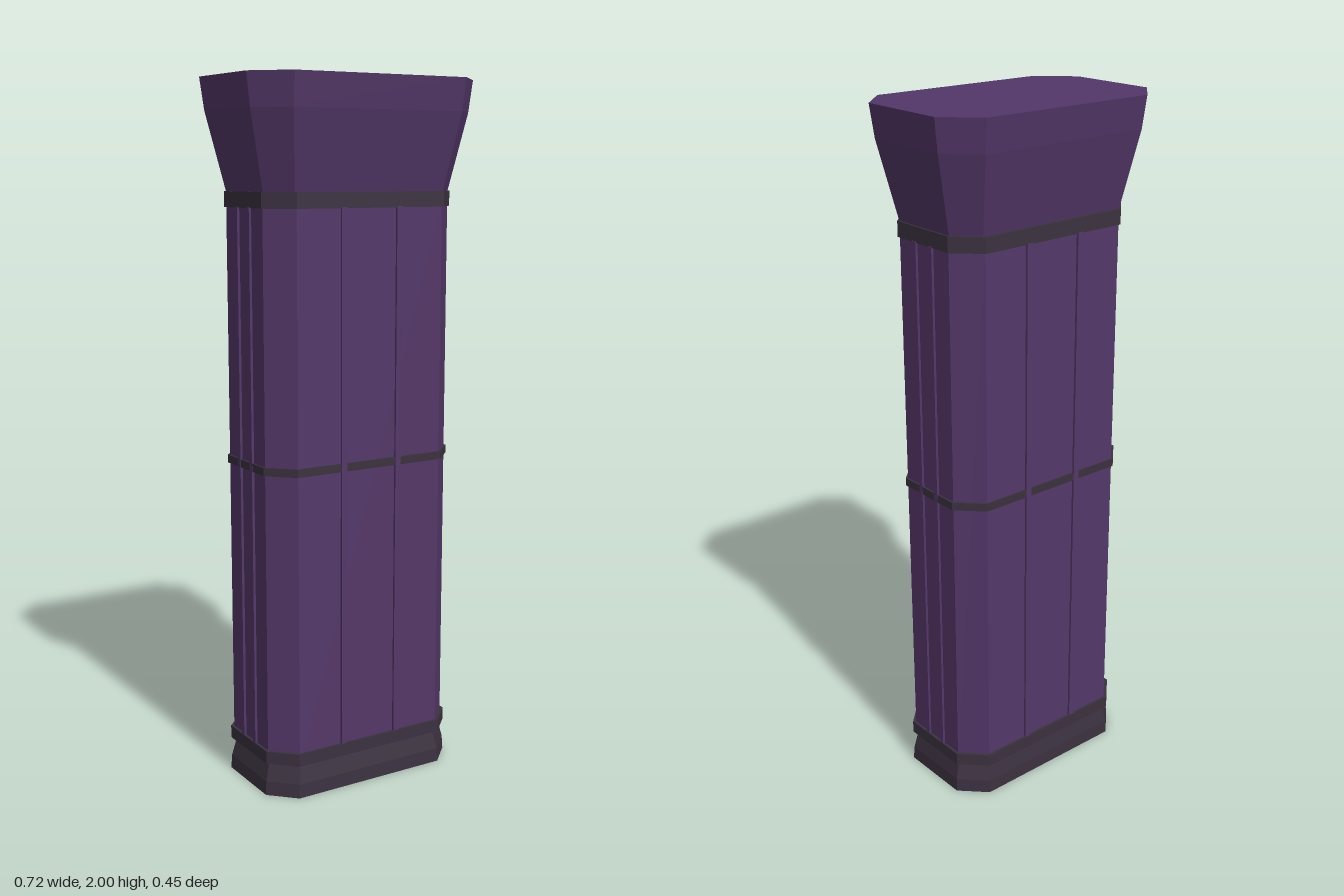
import * as THREE from 'three';

const purple = new THREE.MeshStandardMaterial({ color: 0x533768 });
purple.name = 'purple stone';
const dark = new THREE.MeshStandardMaterial({ color: 0x3b313f });
dark.name = 'dark trim';

// Ring of a rectangle with cut corners: [y, half width, half depth, corner cut]
function ring([y, hx, hz, c]) {
  return [
    [hx, y, hz - c], [hx, y, c - hz], [hx - c, y, -hz], [c - hx, y, -hz],
    [-hx, y, c - hz], [-hx, y, hz - c], [c - hx, y, hz], [hx - c, y, hz],
  ];
}

// Faceted solid through a stack of rings, listed from bottom to top
function loft(name, material, levels) {
  const rings = levels.map(ring);
  const pos = [];
  const tri = (a, b, c) => pos.push(...a, ...b, ...c);
  for (let k = 0; k < rings.length - 1; k++) {
    for (let i = 0; i < 8; i++) {
      const j = (i + 1) % 8;
      const lo = rings[k], hi = rings[k + 1];
      tri(lo[i], lo[j], hi[j]);
      tri(lo[i], hi[j], hi[i]);
    }
  }
  const bottom = rings[0], top = rings[rings.length - 1];
  for (let i = 1; i < 7; i++) {
    tri(top[0], top[i], top[i + 1]);
    tri(bottom[0], bottom[i + 1], bottom[i]);
  }
  const geometry = new THREE.BufferGeometry();
  geometry.setAttribute('position', new THREE.Float32BufferAttribute(pos, 3));
  geometry.computeVertexNormals();
  const mesh = new THREE.Mesh(geometry, material);
  mesh.name = name;
  return mesh;
}

export function createModel() {
  const model = new THREE.Group();
  model.name = 'pillar';

  // Foot, shaft and flared capital
  model.add(
    loft('foot', dark, [[0, 0.31, 0.178, 0.07], [0.04, 0.308, 0.176, 0.07], [0.1, 0.293, 0.164, 0.065]]),
    loft('shaft', purple, [[0.09, 0.3, 0.17, 0.066], [1.67, 0.3, 0.17, 0.066]]),
    loft('capital', purple, [[1.68, 0.296, 0.164, 0.06], [1.91, 0.348, 0.214, 0.082], [2, 0.36, 0.226, 0.09]]),
  );

  // Dark bands around the shaft
  for (const [name, y0, y1, hx, hz] of [
    ['lowerBand', 0.095, 0.132, 0.308, 0.178],
    ['middleBand', 0.932, 0.955, 0.306, 0.175],
    ['upperBand', 1.652, 1.695, 0.305, 0.176],
  ]) {
    model.add(loft(name, dark, [[y0, hx, hz, 0.069], [y1, hx, hz, 0.069]]));
  }

  // Slim upright ribs on all four broad faces, crossing the middle band
  const ribHeight = 1.53;
  const addRib = (name, w, d, x, z) => {
    const rib = new THREE.Mesh(new THREE.BoxGeometry(w, ribHeight, d), purple);
    rib.name = name;
    rib.position.set(x, 0.125 + ribHeight / 2, z);
    model.add(rib);
  };
  for (const s of [-1, 1]) {
    for (const t of [-1, 1]) {
      addRib(s > 0 ? 'frontRib' : 'backRib', 0.018, 0.02, t * 0.089, s * 0.1665);
      addRib(s > 0 ? 'leftRib' : 'rightRib', 0.02, 0.014, s * 0.297, t * 0.034);
    }
  }
  return model;
}
